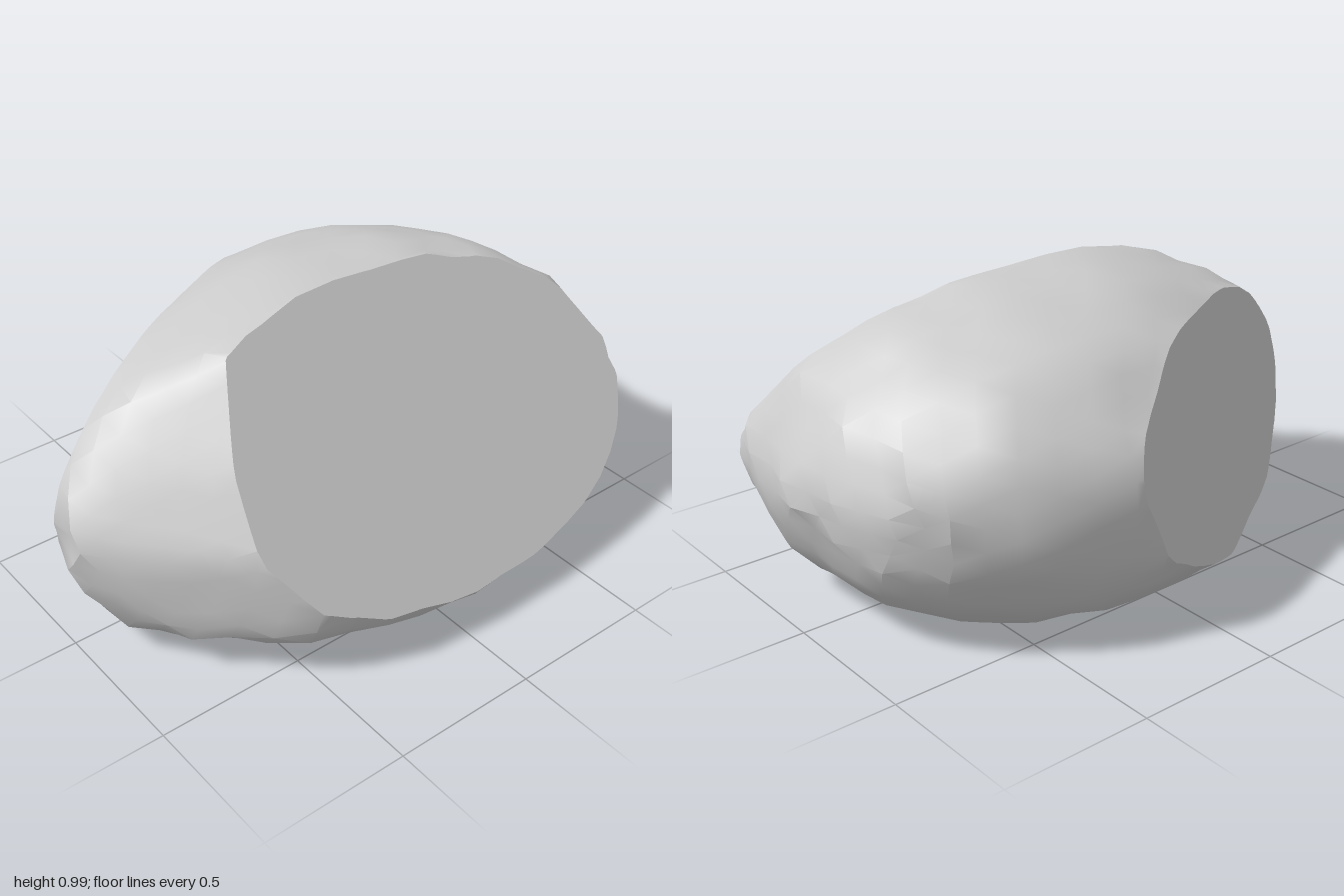
import * as THREE from 'three';
import { toCreasedNormals } from 'three/addons/utils/BufferGeometryUtils.js';

// Worn shoulders at the front right: direction and distance from the origin
const shoulders = [
  { normal: new THREE.Vector3(-0.7, 0.1, 0.7).normalize(), offset: 0.81 },
  { normal: new THREE.Vector3(-0.566, 0.614, 0.55).normalize(), offset: 0.895 },
];

// Uneven surface: broad lumps with smaller chips over them
function bumps(d) {
  return 0.012 * Math.sin(11 * d.x + 3 * d.z + 1) * Math.cos(10 * d.y - 4 * d.x)
    + 0.009 * Math.sin(13 * d.z + 6 * d.y - 5 * d.x)
    + 0.014 * Math.sin(23 * d.x - 17 * d.y) * Math.sin(21 * d.z + 19 * d.y);
}

// Maps a point of the unit sphere to the boulder surface
function boulderPoint(d) {
  const r = 1 + bumps(d);
  const front = Math.max(d.z, 0);
  const back = Math.max(-d.z, 0);
  const low = Math.max(-d.y, 0) ** 2;
  const p = new THREE.Vector3(
    d.x * r * (1 + 0.14 * low) + 0.08 * front + 0.07 * back + 0.06 * d.y * Math.abs(d.y) - 0.01,
    0.43 + 0.565 * d.y * r,
    0.06 + 0.79 * d.z * r + 0.08 * d.x * front - 0.02 * back - 0.08 * low
  );
  // Flatten what sticks out beyond the shoulders
  for (const { normal, offset } of shoulders) {
    const excess = normal.dot(p) - offset;
    if (excess > 0) p.addScaledVector(normal, -0.85 * excess);
  }
  return p;
}

// Slices off everything beyond the plane and closes the cut with a flat fan
function slice(triangles, normal, offset) {
  const n = normal.clone().normalize();
  const limit = offset / normal.length();
  const kept = [];
  const rim = [];
  for (const tri of triangles) {
    const dist = tri.map((p) => n.dot(p) - limit);
    const poly = [];
    let entry = null;
    let exit = null;
    for (let i = 0; i < 3; i++) {
      const j = (i + 1) % 3;
      if (dist[i] <= 0) poly.push(tri[i]);
      if ((dist[i] <= 0) !== (dist[j] <= 0)) {
        const cut = tri[i].clone().lerp(tri[j], dist[i] / (dist[i] - dist[j]));
        poly.push(cut);
        if (dist[i] <= 0) exit = cut;
        else entry = cut;
      }
    }
    for (let i = 2; i < poly.length; i++) kept.push([poly[0], poly[i - 1], poly[i]]);
    if (entry && exit) rim.push([entry, exit]);
  }
  const centre = new THREE.Vector3();
  rim.forEach(([a, b]) => centre.add(a).add(b));
  centre.divideScalar(Math.max(1, rim.length * 2));
  rim.forEach(([a, b]) => kept.push([a, b, centre]));
  return kept;
}

export function createModel() {
  const group = new THREE.Group();
  group.name = 'boulder';

  // Rough rounded body
  const pos = new THREE.IcosahedronGeometry(1, 8).getAttribute('position');
  const points = [];
  for (let i = 0; i < pos.count; i++) {
    points.push(boulderPoint(new THREE.Vector3().fromBufferAttribute(pos, i)));
  }
  let triangles = [];
  for (let i = 0; i < points.length; i += 3) triangles.push(points.slice(i, i + 3));

  // Flat cuts: sloping front, steep back right corner, and the base
  triangles = slice(triangles, new THREE.Vector3(0, 0.615, 0.789), 0.662);
  triangles = slice(triangles, new THREE.Vector3(-0.468, 0.18, -0.884), 0.61);
  triangles = slice(triangles, new THREE.Vector3(0, -1, 0), 0);

  const geometry = new THREE.BufferGeometry().setFromPoints(triangles.flat());
  const rock = new THREE.Mesh(
    toCreasedNormals(geometry, 0.5),
    new THREE.MeshStandardMaterial({ color: 0xcccccc })
  );
  rock.name = 'rock';
  group.add(rock);
  return group;
}
